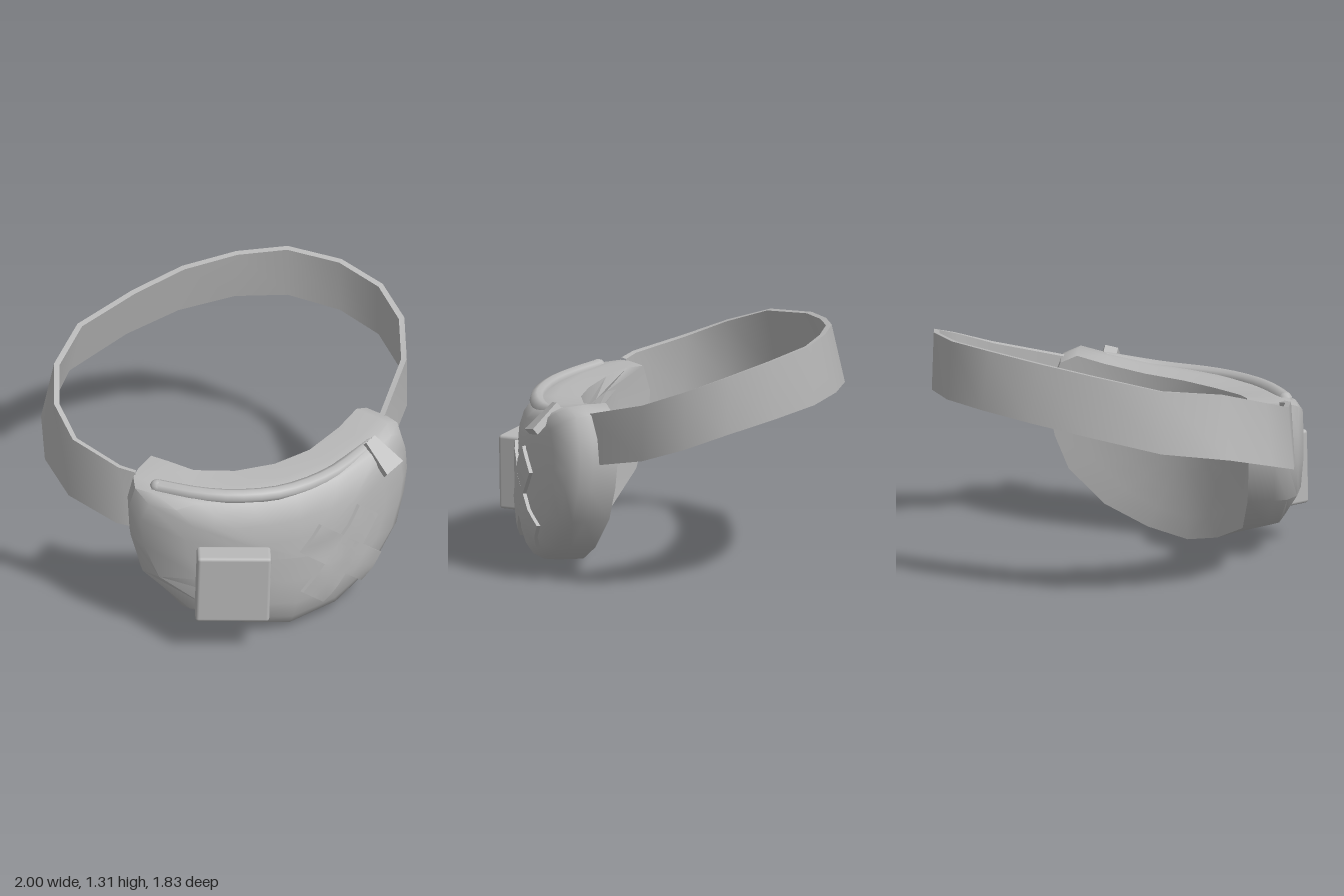
import * as THREE from 'three';
import { toCreasedNormals } from 'three/addons/utils/BufferGeometryUtils.js';
import { RoundedBoxGeometry } from 'three/addons/geometries/RoundedBoxGeometry.js';

const fabric = new THREE.MeshStandardMaterial({ color: 0xb8b8b8 });
fabric.name = 'greyFabric';
const V = (x, y, z) => new THREE.Vector3(x, y, z);

// Skin a list of equal, closed rings of points
function loft(rings, crease) {
  const n = rings[0].length, index = [];
  for (let i = 0; i < rings.length - 1; i++) {
    for (let j = 0; j < n; j++) {
      const k = (j + 1) % n;
      const a = i * n + j, b = i * n + k, c = b + n, d = a + n;
      index.push(a, b, c, a, c, d);
    }
  }
  const geo = new THREE.BufferGeometry().setFromPoints(rings.flat());
  geo.setIndex(index);
  return toCreasedNormals(geo, crease);
}

function add(group, name, geo) {
  const mesh = new THREE.Mesh(geo, fabric);
  mesh.name = name;
  group.add(mesh);
  return mesh;
}

// Pouch: a half-round outline wrapped along a curved back, bulging to the front
function pouchGeometry() {
  const back = new THREE.CatmullRomCurve3([
    V(-0.71, 0, -0.05), V(-0.63, 0, 0.2), V(-0.48, 0, 0.35), V(-0.27, 0, 0.47),
    V(-0.05, 0, 0.525), V(0.2, 0, 0.53), V(0.46, 0, 0.5),
  ]);
  // Fraction along the back curve, height
  const outline = [
    [0.48, 0], [0.64, 0.04], [0.8, 0.15], [0.93, 0.34], [0.98, 0.52], [1, 0.66], [0.99, 0.8],
    [0.96, 0.92], [0.9, 0.96], [0.8, 0.92], [0.65, 0.88], [0.5, 0.87], [0.35, 0.87], [0.2, 0.885],
    [0.1, 0.91], [0.03, 0.91], [0, 0.77], [0.01, 0.58], [0.06, 0.36], [0.18, 0.16], [0.34, 0.05],
  ];
  // Size of the outline, distance from the back
  const layers = [
    [0.001, 0], [0.25, 0], [0.5, 0], [0.75, 0], [1, 0], [1, 0.14], [0.985, 0.21],
    [0.92, 0.265], [0.8, 0.3], [0.6, 0.325], [0.3, 0.335], [0.001, 0.335],
  ];
  return loft(layers.map(([size, depth]) => outline.map(([t, y]) => {
    const u = THREE.MathUtils.clamp(0.5 + (t - 0.5) * size, 0, 1);
    const p = back.getPointAt(u), tan = back.getTangentAt(u);
    return V(p.x - tan.z * depth, 0.48 + (y - 0.48) * size, p.z + tan.x * depth);
  })), 0.75);
}

// Waist belt: x, z of the lower edge, its height, belt height, inward lean of the upper edge
function beltGeometry() {
  const stations = [
    [-0.89, 0.06, 0.58, 0.34, 0.01], [-0.95, -0.02, 0.6, 0.34, 0.02], [-1, -0.32, 0.66, 0.34, 0.03],
    [-0.93, -0.56, 0.745, 0.34, 0.05], [-0.74, -0.77, 0.83, 0.34, 0.07], [-0.4, -0.92, 0.89, 0.32, 0.08],
    [0, -0.88, 0.95, 0.31, 0.08], [0.32, -0.8, 0.985, 0.31, 0.07], [0.61, -0.66, 1, 0.31, 0.06],
    [0.83, -0.47, 0.99, 0.315, 0.03], [0.96, -0.2, 0.955, 0.315, 0.01], [0.995, 0.06, 0.9, 0.31, 0],
    [0.93, 0.28, 0.82, 0.31, 0], [0.76, 0.46, 0.735, 0.3, 0], [0.38, 0.65, 0.64, 0.28, 0],
  ];
  const thick = 0.03;
  return loft(stations.map(([x, z, y, h, lean], i) => {
    const a = stations[Math.max(i - 1, 0)], b = stations[Math.min(i + 1, stations.length - 1)];
    const inward = V(a[1] - b[1], 0, b[0] - a[0]).normalize();
    const at = (d, up) => V(x, up, z).addScaledVector(inward, d);
    return [at(0, y), at(lean, y + h), at(lean + thick, y + h - 0.005), at(thick, y + 0.005)];
  }), 0.7);
}

// Strip of a cross patch, draped over the pouch
function patchStrip(pouch, x0, y0, x1, y1, width) {
  const length = Math.hypot(x1 - x0, y1 - y0);
  const geo = new THREE.BoxGeometry(length, width, 0.04, 10, 4, 1);
  geo.rotateZ(Math.atan2(y1 - y0, x1 - x0));
  geo.translate((x0 + x1) / 2, (y0 + y1) / 2, 0);
  const ray = new THREE.Raycaster(), pos = geo.attributes.position;
  for (let i = 0; i < pos.count; i++) {
    ray.set(V(pos.getX(i), pos.getY(i), 3), V(0, 0, -1));
    const hit = ray.intersectObject(pouch)[0];
    pos.setZ(i, (hit ? hit.point.z : 0.8) + pos.getZ(i));
  }
  return toCreasedNormals(geo, 0.6);
}

export function createModel() {
  const model = new THREE.Group();
  model.name = 'waistPack';

  const pouch = add(model, 'pouch', pouchGeometry());
  pouch.updateMatrixWorld();
  add(model, 'belt', beltGeometry());

  // Crossed patch on the front
  const patch = new THREE.Group();
  patch.name = 'crossPatch';
  model.add(patch);
  add(patch, 'patchStripA', patchStrip(pouch, -0.335, 0.585, 0.1, 0.215, 0.18));
  add(patch, 'patchStripB', patchStrip(pouch, 0.04, 0.62, -0.315, 0.205, 0.18));

  // Piping along the opening, with rounded ends
  const path = new THREE.CatmullRomCurve3([
    V(-0.86, 0.885, 0.19), V(-0.75, 0.872, 0.38), V(-0.62, 0.862, 0.53), V(-0.4, 0.85, 0.67),
    V(-0.1, 0.85, 0.735), V(0.2, 0.885, 0.73),
  ]);
  add(model, 'zipPiping', new THREE.TubeGeometry(path, 14, 0.04, 8));
  for (const u of [0, 1]) {
    add(model, 'zipEnd', new THREE.SphereGeometry(0.04, 8, 6)).position.copy(path.getPointAt(u));
  }

  // Tapered zip pull
  const tab = new THREE.BoxGeometry(0.1, 0.04, 0.2);
  const pos = tab.attributes.position;
  for (let i = 0; i < pos.count; i++) {
    pos.setX(i, pos.getX(i) * (pos.getZ(i) > 0 ? 1.3 : 0.7));
  }
  tab.computeVertexNormals();
  const pull = add(model, 'zipPull', tab);
  pull.position.set(0.19, 0.87, 0.82);
  pull.rotation.set(0.7, 0.15, 0.12);

  // Small side pocket
  const pocket = add(model, 'sidePocket', new RoundedBoxGeometry(0.39, 0.4, 0.13, 2, 0.018));
  pocket.position.set(-0.738, 0.41, 0.627);
  pocket.rotation.set(0, -0.77, -0.03);

  return model;
}
